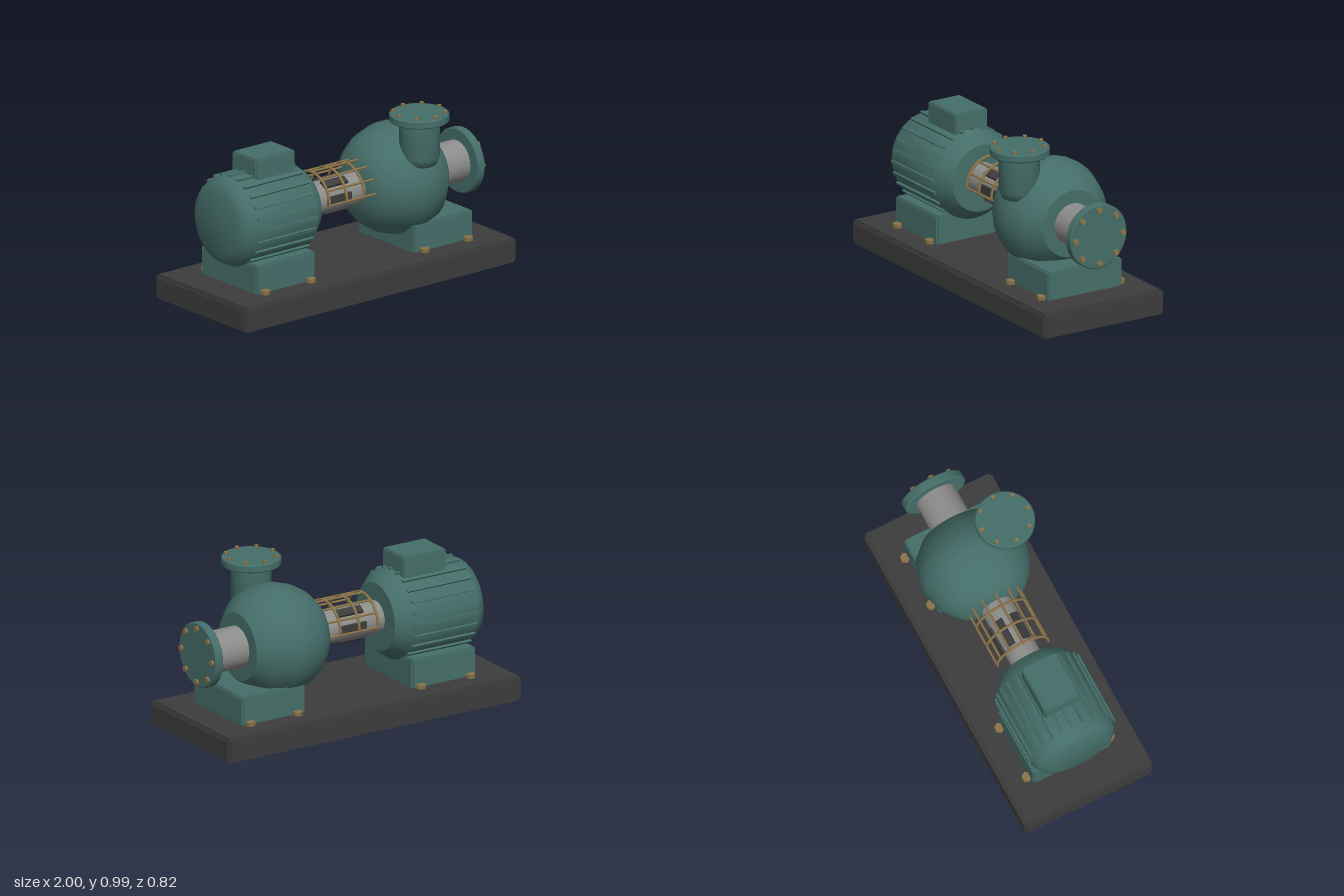
import * as THREE from 'three';
import { toCreasedNormals } from 'three/addons/utils/BufferGeometryUtils.js';

const mat = (name, color) => new THREE.MeshStandardMaterial({ name, color });

export function createModel() {
  const teal = mat('teal paint', 0x456e69);
  const dark = mat('dark steel', 0x3c3c3c);
  const grey = mat('grey metal', 0x8c8c8a);
  const brass = mat('brass', 0x8a7349);

  const model = new THREE.Group();
  model.name = 'pumpSet';
  const AXIS = 0.53; // height of the shaft line

  const add = (name, geo, material, x = 0, y = 0, z = 0, parent = model) => {
    const mesh = new THREE.Mesh(geo, material);
    mesh.name = name;
    mesh.position.set(x, y, z);
    parent.add(mesh);
    return mesh;
  };
  const group = (name, x = 0, y = 0, z = 0) => {
    const g = new THREE.Group();
    g.name = name;
    g.position.set(x, y, z);
    model.add(g);
    return g;
  };

  // Solid of revolution from [radius, height] pairs, bottom to top
  const lathe = (points, segments = 32) => toCreasedNormals(
    new THREE.LatheGeometry(points.map(p => new THREE.Vector2(...p)), segments), 0.75);
  // The same, turned to lie along x
  const latheX = (points, segments) => lathe(points, segments).rotateZ(-Math.PI / 2);

  // Box with stepped edges; n is the notch depth
  const steppedBox = (name, material, [x0, x1], [y0, y1], [z0, z1], n) => {
    const g = group(name, (x0 + x1) / 2, (y0 + y1) / 2, (z0 + z1) / 2);
    const w = x1 - x0, h = y1 - y0, d = z1 - z0, m = 2 * n;
    const sizes = [[w, h - m, d - m], [w - m, h, d - m], [w - m, h - m, d],
      [w - n, h - n, d - n]];
    sizes.forEach(s => add(name + 'Slab', new THREE.BoxGeometry(...s), material, 0, 0, 0, g));
  };

  const hexBolt = (r, h) => new THREE.CylinderGeometry(r, r, h, 6).toNonIndexed();

  // Base plate and pedestals
  steppedBox('basePlate', dark, [-1, 1], [0, 0.15], [-0.41, 0.41], 0.018);
  steppedBox('motorPedestal', teal, [-0.79, -0.355], [0.14, 0.32], [-0.25, 0.25], 0.011);
  steppedBox('pumpPedestal', teal, [0.37, 0.805], [0.14, 0.318], [-0.25, 0.25], 0.011);
  for (const x of [-0.74, -0.405, 0.435, 0.755])
    for (const z of [-0.266, 0.266])
      add('footBolt', hexBolt(0.03, 0.03).rotateY(Math.PI / 6), brass, x, 0.158, z);

  // Motor body with cooling fins and terminal box
  add('motorBody', latheX([[0, -0.87], [0.19, -0.87], [0.235, -0.85], [0.265, -0.795],
    [0.265, -0.35], [0.2, -0.27], [0, -0.27]]), teal, 0, AXIS);
  const fins = group('coolingFins', -0.575, AXIS);
  for (let i = 0; i < 24; i++) {
    const fin = add('coolingFin', new THREE.BoxGeometry(0.43, 0.03, 0.018), teal, 0, 0, 0, fins);
    const a = (i / 24) * Math.PI * 2;
    fin.position.set(0, Math.cos(a) * 0.262, Math.sin(a) * 0.262);
    fin.rotation.x = a;
  }
  steppedBox('terminalBox', teal, [-0.675, -0.383], [0.74, 0.896], [-0.115, 0.105], 0.01);

  // Shaft coupling with dark pads
  add('coupling', latheX([[0, -0.28], [0.095, -0.28], [0.095, 0.17], [0, 0.17]]), grey, 0, AXIS);
  const pads = group('couplingPads', -0.055, AXIS);
  for (let i = 0; i < 6; i++) {
    const a = (i / 6) * Math.PI * 2 + Math.PI / 2;
    const pad = add('couplingPad', new THREE.BoxGeometry(0.17, 0.035, 0.05), dark, 0, 0, 0, pads);
    pad.position.set(0, Math.cos(a) * 0.09, Math.sin(a) * 0.09);
    pad.rotation.x = a;
  }

  // Half-round wire guard over the coupling
  const guard = group('couplingGuard', 0, AXIS);
  for (const x of [-0.18, -0.053, 0.075])
    add('guardHoop', new THREE.TorusGeometry(0.163, 0.008, 8, 24, Math.PI).rotateY(Math.PI / 2),
      brass, x, 0, 0, guard);
  for (let i = 0; i <= 6; i++) {
    const a = (i / 6) * Math.PI;
    add('guardBar', new THREE.CylinderGeometry(0.007, 0.007, 0.385, 8).rotateZ(Math.PI / 2),
      brass, 0.003, Math.sin(a) * 0.163, Math.cos(a) * 0.163, guard);
  }

  // Pump casing
  add('pumpCasing', latheX([[0, 0.14], [0.12, 0.14], [0.2, 0.17], [0.255, 0.225], [0.295, 0.29],
    [0.328, 0.40], [0.328, 0.47], [0.285, 0.59], [0.2, 0.67], [0, 0.67]]), teal, 0, AXIS);

  // Flange with a ring of eight bolts, built standing on y = 0
  const flange = (name, r, h, boltRing, boltR) => {
    const g = group(name);
    add(name + 'Disc', lathe([[0, 0], [r - 0.006, 0], [r, 0.006], [r, h - 0.006],
      [r - 0.006, h], [0, h]]), teal, 0, 0, 0, g);
    for (let i = 0; i < 8; i++) {
      const a = (i / 8) * Math.PI * 2;
      add(name + 'Bolt', hexBolt(boltR, 0.03), brass,
        Math.cos(a) * boltRing, h, Math.sin(a) * boltRing, g);
    }
    return g;
  };

  // Suction side
  add('suctionPipe', latheX([[0, 0.64], [0.122, 0.64], [0.122, 0.9], [0, 0.9]]), grey, 0, AXIS);
  const suction = flange('suctionFlange', 0.192, 0.053, 0.16, 0.018);
  suction.position.set(0.89, AXIS, 0);
  suction.rotation.z = -Math.PI / 2;

  // Discharge side
  add('dischargePipe', lathe([[0, 0.645], [0.07, 0.65], [0.1, 0.67], [0.117, 0.715],
    [0.117, 0.93], [0, 0.93]]), teal, 0.44, 0, 0.212);
  flange('dischargeFlange', 0.172, 0.047, 0.147, 0.013).position.set(0.44, 0.924, 0.21);

  return model;
}
